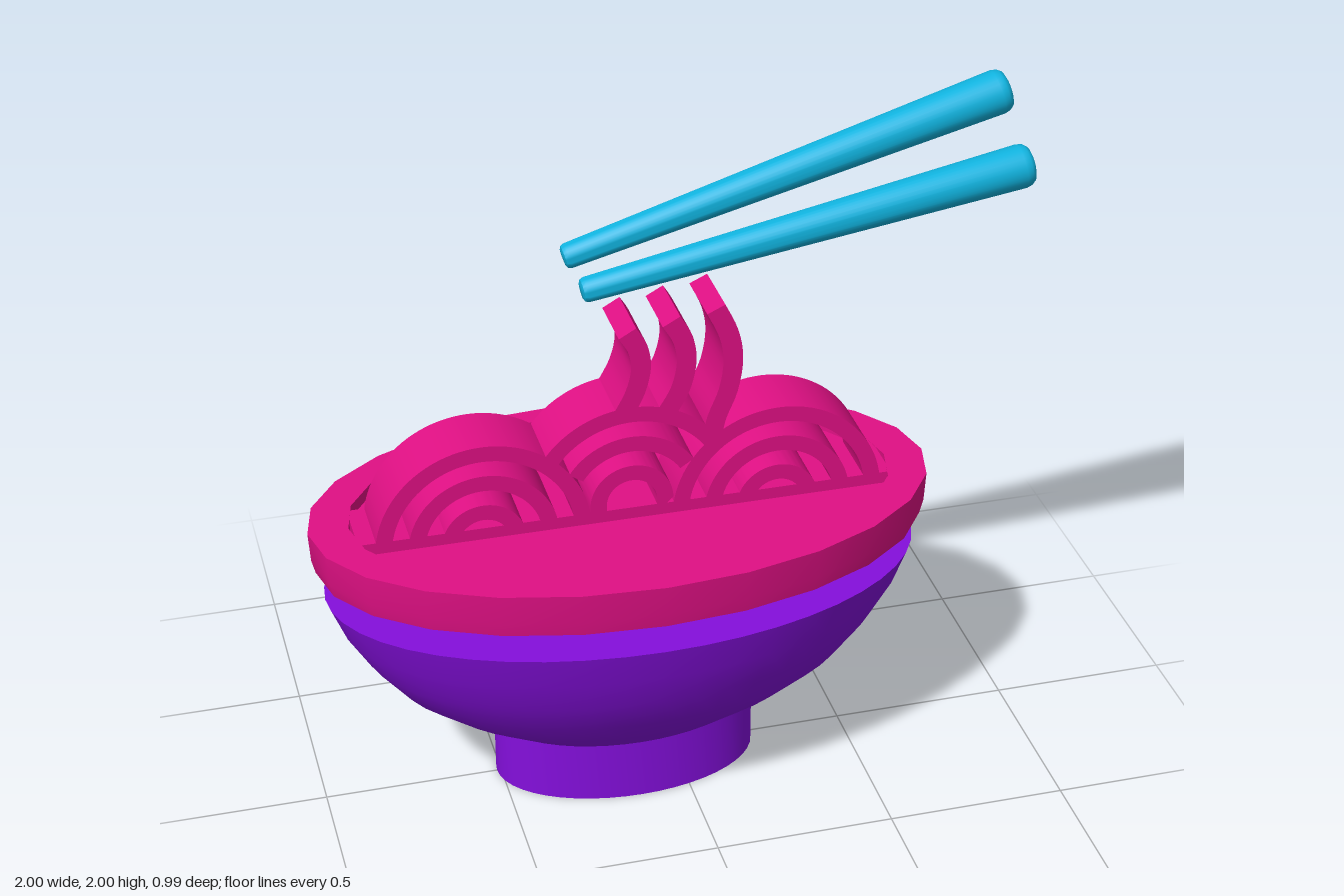
import * as THREE from 'three';
import { toCreasedNormals } from 'three/addons/utils/BufferGeometryUtils.js';

const CX = -0.14;      // centre of the bowl
const RATIO = 0.575;   // depth of the oval bowl relative to its width
const DEPTH = 0.18;    // thickness of the noodle slab

function material(name, color) {
  const m = new THREE.MeshStandardMaterial({ color });
  m.name = name;
  return m;
}

function mesh(name, geometry, mat) {
  const m = new THREE.Mesh(geometry, mat);
  m.name = name;
  return m;
}

// Closed oval solid turned from a bottom-to-top profile of [radius, y]
function oval(name, profile, segments, mat) {
  const g = new THREE.LatheGeometry(profile.map(([r, y]) => new THREE.Vector2(r, y)), segments);
  g.scale(1, 1, RATIO);
  const m = mesh(name, toCreasedNormals(g, 0.6), mat);
  m.position.x = CX;
  return m;
}

function slab(name, shape, mat) {
  const g = new THREE.ExtrudeGeometry(shape, { depth: DEPTH, bevelEnabled: false, curveSegments: 24 });
  g.translate(0, 0, -DEPTH / 2);
  return mesh(name, toCreasedNormals(g, 0.6), mat);
}

// Arched noodle between two angles, with optional straight legs down to footY
function arch(cx, cy, r, a0, a1, footY) {
  const ri = r - 0.045;
  const s = new THREE.Shape();
  if (footY !== undefined) s.moveTo(cx + r, footY);
  s.absarc(cx, cy, r, a0, a1, false);
  if (footY !== undefined) {
    s.lineTo(cx - r, footY);
    s.lineTo(cx - ri, footY);
  }
  s.absarc(cx, cy, ri, a1, a0, true);
  if (footY !== undefined) s.lineTo(cx + ri, footY);
  s.closePath();
  return s;
}

// Ribbon of constant width along a smooth centre line
function ribbon(points, width) {
  const curve = new THREE.SplineCurve(points.map(([x, y]) => new THREE.Vector2(x, y)));
  const a = [], b = [];
  for (let i = 0; i <= 20; i++) {
    const p = curve.getPoint(i / 20), t = curve.getTangent(i / 20);
    const n = new THREE.Vector2(t.y, -t.x).multiplyScalar(width / 2);
    a.push(p.clone().add(n));
    b.unshift(p.clone().sub(n));
  }
  return new THREE.Shape([...a, ...b]);
}

// Tapered stick with rounded ends, from the thin end to the thick end
function chopstick(name, [x0, y0], [x1, y1], mat) {
  const L = Math.hypot(x1 - x0, y1 - y0);
  const r0 = 0.034, r1 = 0.06;
  const pts = [
    [0, 0], [r0 - 0.012, 0], [r0 - 0.004, 0.004], [r0, 0.014],
    [r1, L - 0.03], [r1 - 0.004, L - 0.014], [r1 - 0.012, L - 0.004], [r1 - 0.024, L], [0, L],
  ].map(([r, y]) => new THREE.Vector2(r, y));
  const m = mesh(name, toCreasedNormals(new THREE.LatheGeometry(pts, 32), 0.7), mat);
  m.position.set(x0, y0, 0);
  m.rotation.z = Math.atan2(y1 - y0, x1 - x0) - Math.PI / 2;
  return m;
}

export function createModel() {
  const purple = material('purple', 0x840fdc);
  const pink = material('pink', 0xe01084);
  const blue = material('blue', 0x10b4e0);
  const model = new THREE.Group();
  model.name = 'noodleBowl';

  // Bowl and its foot
  model.add(oval('bowl', [
    [0, 0.17], [0.37, 0.18], [0.52, 0.265], [0.64, 0.355], [0.725, 0.46],
    [0.785, 0.56], [0.825, 0.66], [0, 0.66],
  ], 48, purple));
  model.add(oval('foot', [[0, 0], [0.372, 0], [0.372, 0.185], [0, 0.185]], 48, purple));

  // Floating rim with a shallow recess
  model.add(oval('rim', [
    [0, 0.75], [0.845, 0.75], [0.855, 0.79], [0.86, 0.875],
    [0.75, 0.875], [0.75, 0.84], [0, 0.84],
  ], 24, pink));

  // Noodles
  const noodles = new THREE.Group();
  noodles.name = 'noodles';
  const base = mesh('noodleBase', new THREE.BoxGeometry(1.48, 0.075, DEPTH), pink);
  base.position.set(CX, 0.8365, 0);
  noodles.add(base);

  const radii = [0.295, 0.205, 0.115];
  for (const cx of [-0.54, 0.275]) {
    for (const r of radii) noodles.add(slab('sideArch', arch(cx, 0.83, r, 0, Math.PI), pink));
  }
  // The two larger middle arches stop where they meet the side arches
  const cut = THREE.MathUtils.degToRad(33);
  for (const r of radii.slice(0, 2)) {
    noodles.add(slab('middleArch', arch(-0.133, 0.89, r, cut, Math.PI - cut), pink));
  }
  noodles.add(slab('middleArch', arch(-0.133, 0.89, radii[2], 0, Math.PI, 0.85), pink));

  // Lifted strands
  const strands = [
    [[-0.155, 1.165], [-0.122, 1.23], [-0.106, 1.3], [-0.115, 1.36], [-0.142, 1.408]],
    [[-0.04, 1.15], [0, 1.22], [0.018, 1.3], [0.008, 1.37], [-0.023, 1.427]],
    [[0.087, 1.05], [0.102, 1.12], [0.133, 1.2], [0.146, 1.29], [0.133, 1.37], [0.098, 1.447]],
  ];
  for (const points of strands) noodles.add(slab('strand', ribbon(points, 0.054), pink));
  model.add(noodles);

  // Chopsticks
  model.add(chopstick('upperChopstick', [-0.29, 1.606], [0.91, 1.945], blue));
  model.add(chopstick('lowerChopstick', [-0.243, 1.502], [0.99, 1.718], blue));

  return model;
}
